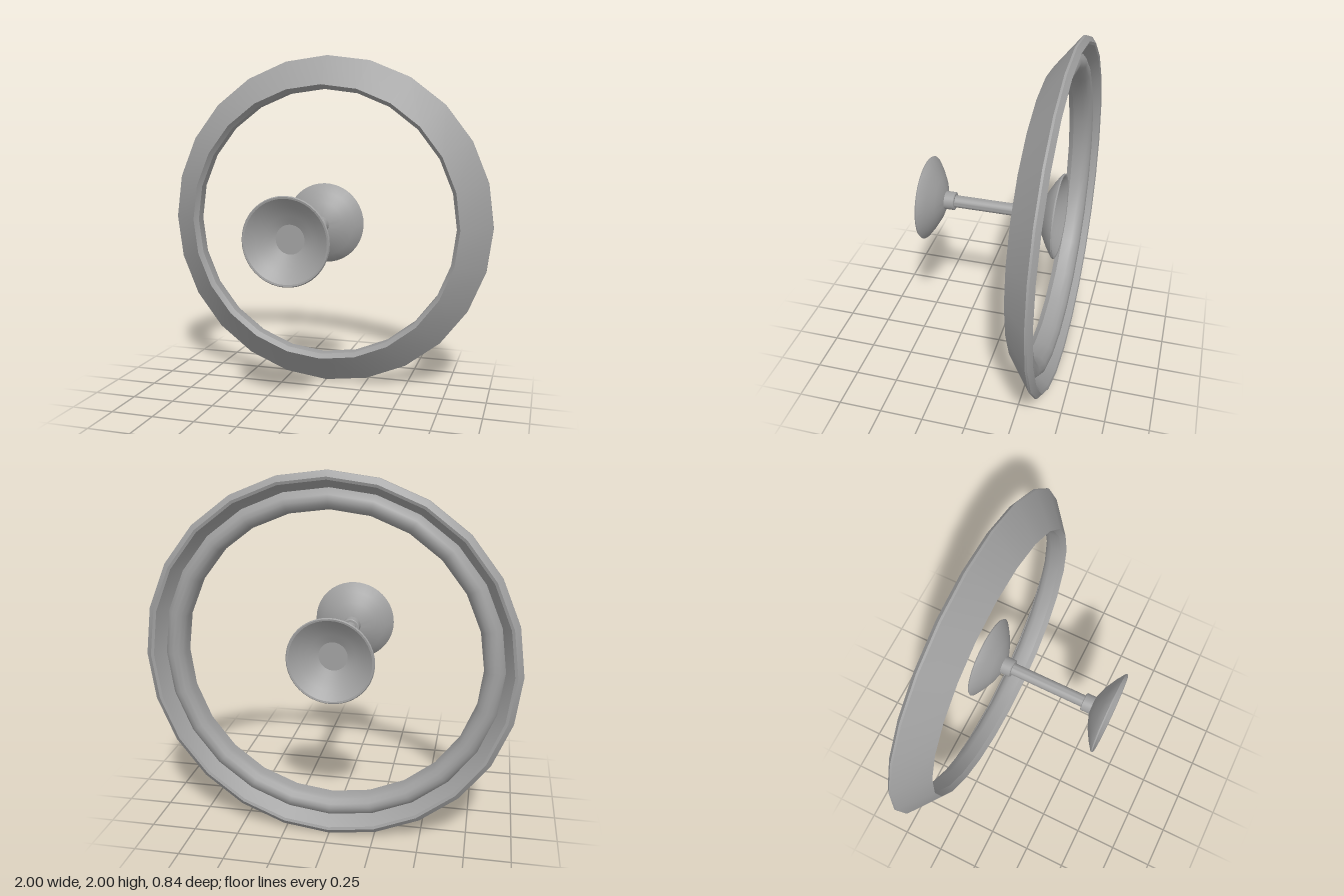
import * as THREE from 'three';
import { toCreasedNormals } from 'three/addons/utils/BufferGeometryUtils.js';

export function createModel() {
  const model = new THREE.Group();
  model.name = 'wheel';
  const metal = new THREE.MeshStandardMaterial({ color: 0xa0a0a0 });
  metal.name = 'grey metal';

  // Turned part whose axis runs along z (profile: [radius, z])
  function turned(name, profile, sides, crease, parent) {
    const points = profile.map(([r, z]) => new THREE.Vector2(r, z));
    const geometry = new THREE.LatheGeometry(points, sides);
    geometry.rotateX(Math.PI / 2);
    const mesh = new THREE.Mesh(toCreasedNormals(geometry, crease), metal);
    mesh.name = name;
    parent.add(mesh);
    return mesh;
  }

  // Rim: conical front, rounded bead and raised lip at the back
  const rim = turned('rim', [
    [0.97, -0.42], [1, -0.397], [1, -0.385], [0.825, -0.245],
    [0.802, -0.275], [0.8, -0.335], [0.81, -0.36], [0.83, -0.38],
    [0.855, -0.387], [0.88, -0.38], [0.9, -0.362], [0.91, -0.345],
    [0.955, -0.415], [0.97, -0.42],
  ], 24, 0.6, model);
  rim.position.y = 1;

  // Hub: axle with a collar and a dished flange at each end
  const hub = new THREE.Group();
  hub.name = 'hub';
  hub.position.set(0, 1, 0.033);
  model.add(hub);

  turned('axle', [[0.035, -0.25], [0.035, 0.25]], 32, 0.6, hub);

  for (const [side, turn] of [['front', 0], ['rear', Math.PI]]) {
    const end = new THREE.Group();
    end.name = side + 'HubEnd';
    end.rotation.y = turn;
    hub.add(end);
    turned('collar', [
      [0.03, 0.222], [0.048, 0.222], [0.052, 0.226], [0.052, 0.285],
    ], 32, 0.6, end);
    turned('flange', [
      [0, 0.28], [0.06, 0.28], [0.13, 0.307], [0.19, 0.341], [0.236, 0.373],
      [0.241, 0.38], [0.236, 0.387], [0.226, 0.385],
      [0.18, 0.35], [0.13, 0.32], [0.08, 0.297], [0, 0.297],
    ], 40, 0.4, end);
  }
  return model;
}
